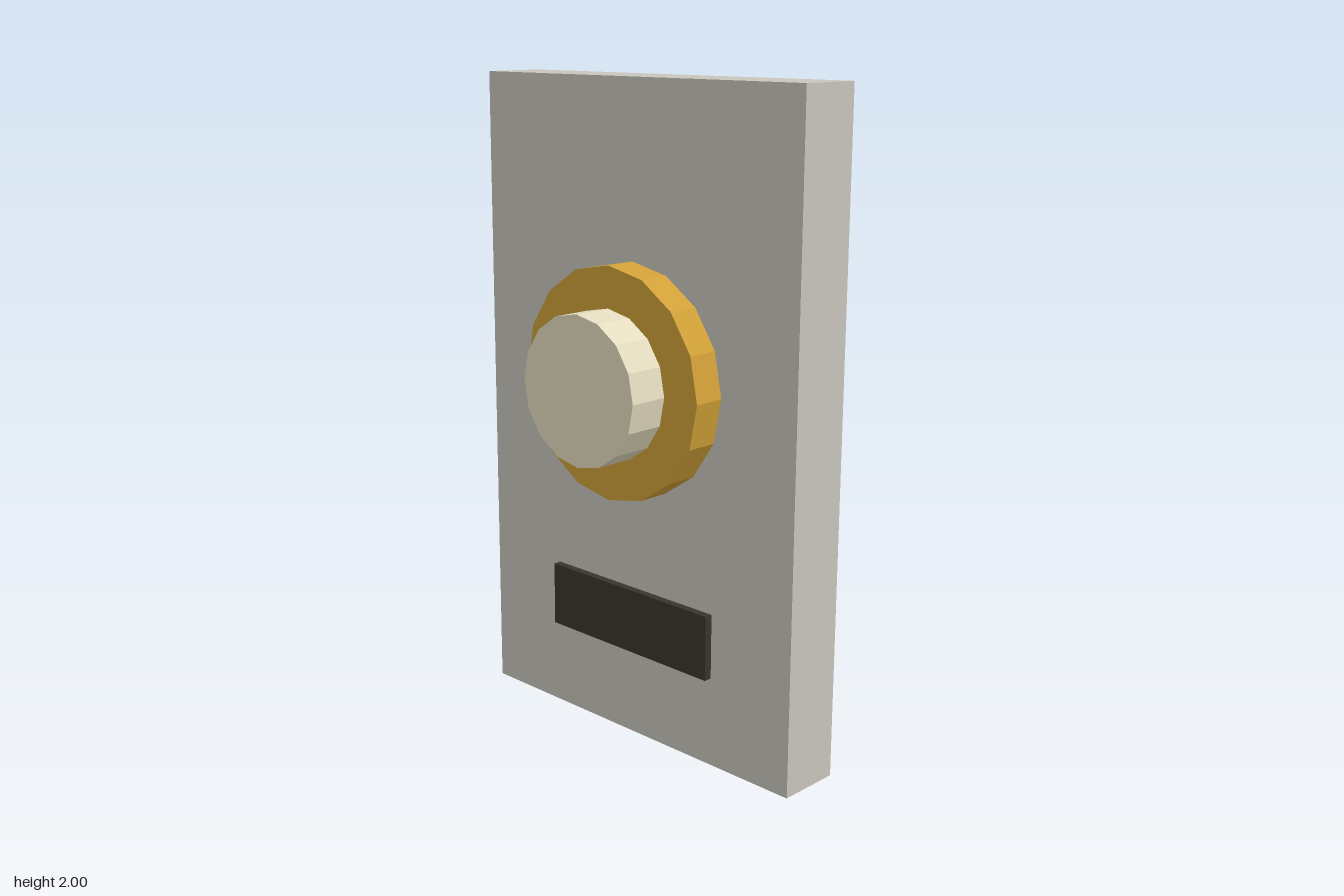
import * as THREE from 'three';

export function createModel() {
  const model = new THREE.Group();
  model.name = 'doorbell';
  const wallFace = -0.0125; // front surface of the backing plate

  function add(name, geometry, color, y, z) {
    const material = new THREE.MeshStandardMaterial({ color, flatShading: true });
    const mesh = new THREE.Mesh(geometry, material);
    mesh.name = name;
    mesh.position.set(0, y, z);
    model.add(mesh);
  }

  // 16-sided disc facing the front
  const disc = (radius, depth) =>
    new THREE.CylinderGeometry(radius, radius, depth, 16).rotateX(Math.PI / 2);

  // Backing plate
  add('backPlate', new THREE.BoxGeometry(1.245, 2, 0.2), 0xc8c5bc, 1, wallFace - 0.1);

  // Brass collar and push button
  add('collar', disc(0.35, 0.1), 0xd0a038, 1.127, wallFace + 0.05);
  add('button', disc(0.225, 0.125), 0xe4dcc0, 1.127, wallFace + 0.1625);

  // Dark name plate below the button
  add('namePlate', new THREE.BoxGeometry(0.65, 0.2, 0.025), 0x3a342d, 0.377, wallFace + 0.0125);

  return model;
}
